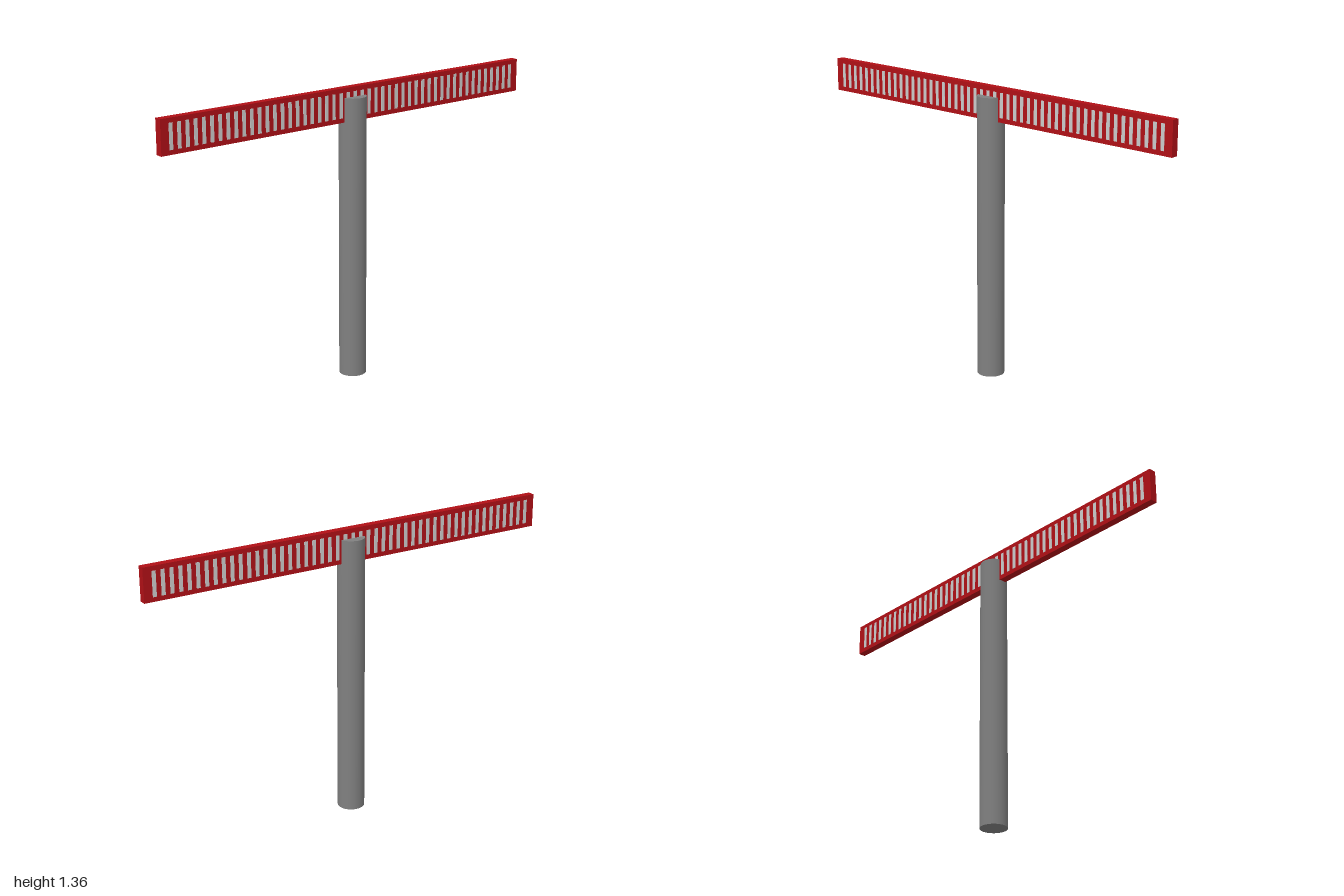
import * as THREE from 'three';

export function createModel() {
  const group = new THREE.Group();
  const grey = new THREE.MeshStandardMaterial({ color: 0x808080 });
  const red = new THREE.MeshStandardMaterial({ color: 0xb01016 });
  const pale = new THREE.MeshStandardMaterial({ color: 0xcccccc });

  const add = (name, geometry, material, x, y, z) => {
    const mesh = new THREE.Mesh(geometry, material);
    mesh.name = name;
    mesh.position.set(x, y, z);
    group.add(mesh);
  };

  // Round upright post
  const postHeight = 1.31;
  add('post', new THREE.CylinderGeometry(0.0625, 0.0625, postHeight, 32), grey, 0, postHeight / 2, 0);

  // Long thin crossbeam running through the post
  const beamY = 1.278;
  add('crossbeam', new THREE.BoxGeometry(2, 0.154, 0.035), red, 0, beamY, 0);

  // Evenly spaced pale stripes, showing on both faces of the beam
  const count = 49, reach = 0.952;
  const stripe = new THREE.BoxGeometry(0.018, 0.113, 0.037);
  for (let i = 0; i < count; i++) {
    add('stripe', stripe, pale, -reach + (2 * reach * i) / (count - 1), beamY, 0);
  }

  return group;
}
